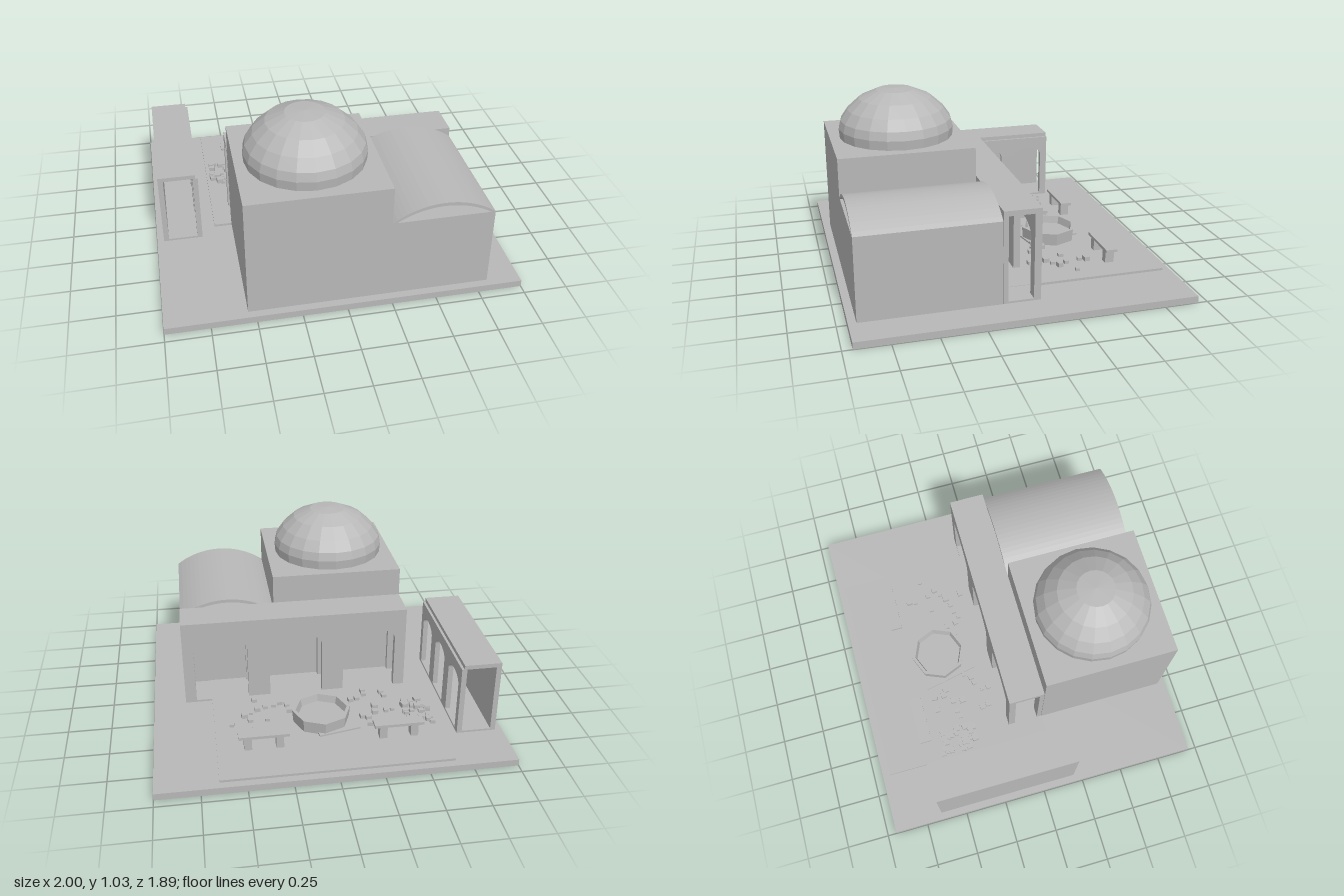
import * as THREE from 'three';

const stone = new THREE.MeshStandardMaterial({ color: 0xb8b8b8, flatShading: true });
stone.name = 'grey stone';

export function createModel() {
  const model = new THREE.Group();
  model.name = 'courtyardBuilding';

  const add = (name, geometry, parent = model) => {
    const mesh = new THREE.Mesh(geometry, stone);
    mesh.name = name;
    parent.add(mesh);
    return mesh;
  };
  const group = (name) => {
    const g = new THREE.Group();
    g.name = name;
    model.add(g);
    return g;
  };
  // Box given by its limits on each axis
  const box = (name, x0, x1, y0, y1, z0, z1, parent) => {
    const mesh = add(name, new THREE.BoxGeometry(x1 - x0, y1 - y0, z1 - z0), parent);
    mesh.position.set((x0 + x1) / 2, (y0 + y1) / 2, (z0 + z1) / 2);
    return mesh;
  };
  // Wall with a row of three arched openings
  const archWall = (u0, u1, y0, y1, width, spring, rise, depth) => {
    const shape = new THREE.Shape();
    shape.moveTo(u0, y0).lineTo(u1, y0).lineTo(u1, y1).lineTo(u0, y1).closePath();
    const bay = (u1 - u0) / 3;
    for (let i = 0; i < 3; i++) {
      const c = u0 + bay * (i + 0.5);
      const hole = new THREE.Path();
      hole.moveTo(c - width / 2, y0 + 0.012);
      hole.lineTo(c + width / 2, y0 + 0.012);
      hole.lineTo(c + width / 2, spring);
      hole.absellipse(c, spring, width / 2, rise, 0, Math.PI, false);
      hole.closePath();
      shape.holes.push(hole);
    }
    return new THREE.ExtrudeGeometry(shape, { depth, bevelEnabled: false, curveSegments: 10 });
  };

  // Ground and paving
  box('ground', -1, 1, 0, 0.04, -0.945, 0.945);
  box('courtyardPaving', -0.65, 0.65, 0.04, 0.054, -0.9, 0.115);

  // Main hall and side wing
  box('mainHall', -0.545, 0.24, 0.04, 0.745, 0.115, 0.9);
  box('sideWing', 0.24, 0.81, 0.04, 0.52, 0.115, 0.9);

  // Faceted dome
  const profile = [[0.336, 0.745], [0.341, 0.8], [0.328, 0.85], [0.285, 0.912],
    [0.215, 0.975], [0.11, 1.022], [0, 1.03]].map((p) => new THREE.Vector2(...p));
  add('dome', new THREE.LatheGeometry(profile, 20)).position.set(-0.155, 0, 0.505);

  // Open barrel vault: an arc band extruded along the wing
  const arc = (half, rise, n = 20) => {
    const r = (half * half + rise * rise) / (2 * rise);
    const a = Math.asin(half / r);
    return Array.from({ length: n + 1 }, (_, i) => {
      const t = a * (1 - (2 * i) / n);
      return new THREE.Vector2(r * Math.sin(t), r * Math.cos(t) - r + rise);
    });
  };
  const band = new THREE.Shape([...arc(0.285, 0.095), ...arc(0.26, 0.075).reverse()]);
  add('barrelVault', new THREE.ExtrudeGeometry(band, { depth: 0.785, bevelEnabled: false }))
    .position.set(0.525, 0.52, 0.115);

  // Rear portico, arched on both long sides and open at the ends
  const portico = group('rearPortico');
  box('porticoFloor', -0.545, 0.81, 0.04, 0.052, -0.1, 0.113, portico);
  box('porticoRoof', -0.545, 0.81, 0.545, 0.575, -0.1, 0.113, portico);
  for (const [name, z, depth] of [['porticoFrontArches', -0.1, 0.04], ['porticoBackArches', 0.085, 0.028]]) {
    add(name, archWall(-0.545, 0.81, 0.04, 0.545, 0.32, 0.385, 0.075, depth), portico).position.z = z;
  }

  // Side arcade with a solid outer wall and arches facing the courtyard
  const arcade = group('sideArcade');
  box('arcadeFloor', -0.96, -0.73, 0.04, 0.052, -0.65, 0.2, arcade);
  box('arcadeOuterWall', -0.96, -0.93, 0.052, 0.465, -0.65, 0.2, arcade);
  box('arcadeRoof', -0.96, -0.745, 0.465, 0.49, -0.65, 0.2, arcade);
  const arches = add('arcadeArches', archWall(-0.2, 0.65, 0.04, 0.465, 0.195, 0.34, 0.055, 0.03), arcade);
  arches.rotation.y = Math.PI / 2;
  arches.position.x = -0.76;

  // Octagonal fountain basin on a skewed slab
  const basin = [[0.165, 0.05], [0.172, 0.13], [0.152, 0.13], [0.142, 0.085], [0, 0.085]]
    .map((p) => new THREE.Vector2(...p));
  add('fountainBasin', new THREE.LatheGeometry(basin, 8)).position.set(0.025, 0, -0.41);
  const slab = add('fountainSlab', new THREE.BoxGeometry(0.25, 0.012, 0.34));
  slab.position.set(-0.03, 0.058, -0.4);
  slab.rotation.y = 0.2;

  // Two benches
  for (const x of [-0.387, 0.385]) {
    const bench = group('bench');
    box('benchSeat', x - 0.143, x + 0.143, 0.13, 0.147, -0.665, -0.595, bench);
    for (const s of [-1, 1]) {
      const c = x + s * 0.09;
      box('benchLeg', c - 0.022, c + 0.022, 0.054, 0.13, -0.657, -0.603, bench);
    }
  }

  // Rubble: scattered stones and a denser heap near the arcade
  let seed = 7;
  const rand = () => (seed = (seed * 16807) % 2147483647) / 2147483647;
  const rubble = group('rubble');
  const rock = (x, z, y, size) => {
    const h = size * 0.75;
    const m = add('rock', new THREE.BoxGeometry(size, h, size * (0.8 + 0.3 * rand())), rubble);
    m.position.set(x, y + h / 2, z);
    m.rotation.y = (rand() - 0.5) * 0.4;
  };
  const spots = [
    [-0.41, -0.38], [-0.37, -0.39], [-0.39, -0.23], [-0.38, -0.19], [-0.33, -0.51], [-0.25, -0.51],
    [-0.25, -0.45], [-0.3, -0.4], [-0.31, -0.34], [-0.22, -0.43], [-0.22, -0.24], [-0.27, -0.2],
    [-0.27, -0.16], [-0.18, -0.25], [-0.15, -0.29], [0.14, -0.27], [0.2, -0.31], [0.21, -0.25],
    [0.25, -0.22], [0.29, -0.24], [0.34, -0.25], [0.34, -0.38], [0.39, -0.27], [0.4, -0.17],
    [0.43, -0.51], [0.42, -0.47], [0.44, -0.38], [0.47, -0.33], [0.55, -0.41], [0.43, -0.3],
  ];
  for (const [x, z] of spots) rock(x, z, 0.052, 0.024 + 0.014 * rand());
  for (let i = 0; i < 34; i++) {
    rock(-0.545 + (rand() - 0.5) * 0.14, -0.435 + (rand() - 0.5) * 0.22, 0.052 + (i % 3 === 0 ? 0.012 : 0), 0.026 + 0.012 * rand());
  }

  return model;
}
